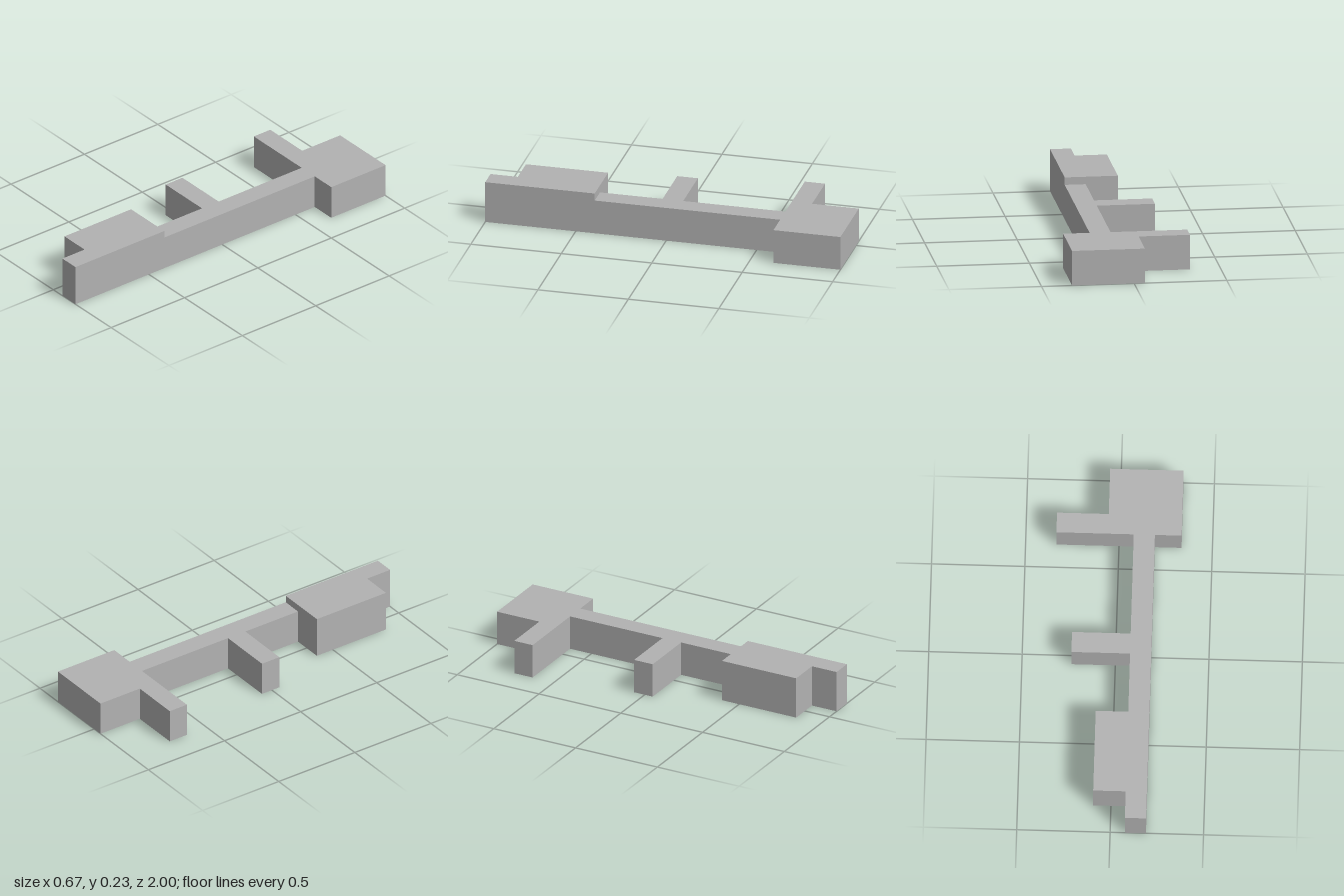
import * as THREE from 'three';

// Upright prism standing on y = 0 from a plan outline of [x, z] points
function prism(name, outline, height, material) {
  const shape = new THREE.Shape(outline.map(([x, z]) => new THREE.Vector2(x, -z)));
  const geometry = new THREE.ExtrudeGeometry(shape, { depth: height, bevelEnabled: false });
  geometry.rotateX(-Math.PI / 2);
  const mesh = new THREE.Mesh(geometry, material);
  mesh.name = name;
  return mesh;
}

export function createModel() {
  const model = new THREE.Group();
  model.name = 'building';
  const grey = new THREE.MeshStandardMaterial({ color: 0xb2b2b2 });
  grey.name = 'grey';

  const east = 0.192, west = 0.079, step = 0.395;

  // Lower wing: long spine, two side arms and the broad rear block
  model.add(prism('lowerWing', [
    [east, step], [east, -0.63], [0.335, -0.63], [0.335, -1],
    [-0.058, -1], [-0.058, -0.742], [-0.335, -0.742], [-0.335, -0.63],
    [west, -0.63], [west, -0.065], [-0.235, -0.065], [-0.235, 0.049],
    [west, 0.049], [west, step],
  ], 0.191, grey));

  // Taller front wing with a notch at its end
  model.add(prism('frontWing', [
    [east, 1], [east, step], [-0.095, step], [-0.095, 0.849],
    [west, 0.849], [west, 1],
  ], 0.232, grey));

  return model;
}
